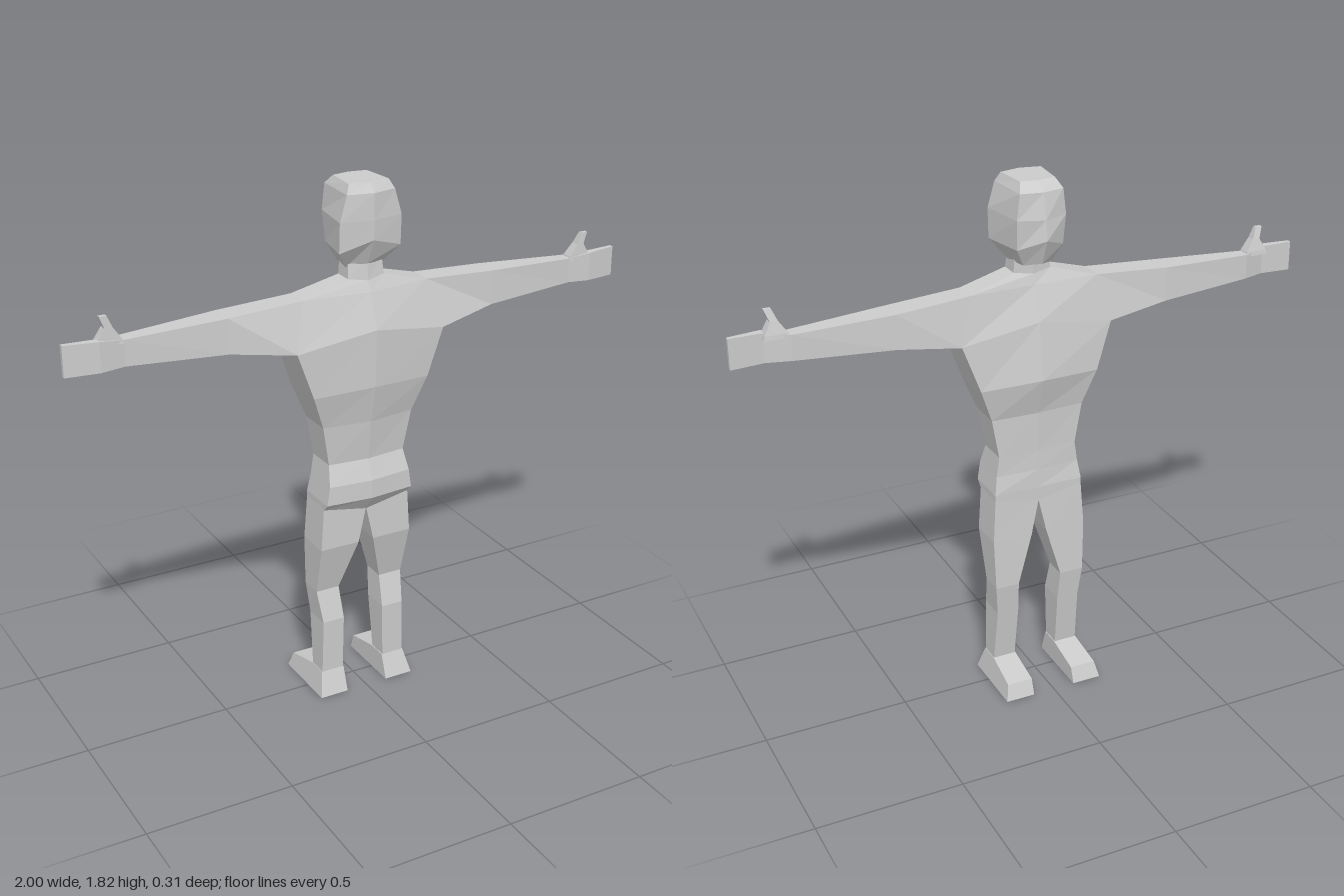
import * as THREE from 'three';

const material = new THREE.MeshStandardMaterial({ color: 0xcccccc, flatShading: true });

// Skin a list of equal-length rings; rings run counter-clockwise about the loft direction.
function loft(name, rings) {
  const pos = [];
  const tri = (a, b, c) => pos.push(...a, ...b, ...c);
  const n = rings[0].length;
  for (let i = 0; i < rings.length - 1; i++) {
    for (let j = 0; j < n; j++) {
      const k = (j + 1) % n;
      tri(rings[i][j], rings[i][k], rings[i + 1][k]);
      tri(rings[i][j], rings[i + 1][k], rings[i + 1][j]);
    }
  }
  const first = rings[0], last = rings[rings.length - 1];
  for (let j = 1; j < n - 1; j++) {
    tri(first[0], first[j + 1], first[j]);
    tri(last[0], last[j], last[j + 1]);
  }
  const geometry = new THREE.BufferGeometry();
  geometry.setAttribute('position', new THREE.Float32BufferAttribute(pos, 3));
  geometry.computeVertexNormals();
  const mesh = new THREE.Mesh(geometry, material);
  mesh.name = name;
  return mesh;
}

// Reflect rings in x, reversing each to keep the faces outward.
const mirrored = (rings) => rings.map((r) => r.map(([x, y, z]) => [-x, y, z]).reverse());

// Lofts along x must also swap their ring order once seen from the other side,
// which the reversal above already takes care of.
function addPair(group, name, rings) {
  group.add(loft('left' + name, rings), loft('right' + name, mirrored(rings)));
}

// Six-sided body section: ridge at chest and spine, flat flanks.
const bodyRing = ([ySide, yMid, xF, xB, zF, zFMid, zB, zBMid]) => [
  [xB, ySide, zB], [xF, ySide, zF], [0, yMid, zFMid],
  [-xF, ySide, zF], [-xB, ySide, zB], [0, yMid, zBMid],
];

// Four-sided leg section with separate outer and inner heights.
const legRing = ([yOut, yIn, xOut, xIn, zF, zB]) => [
  [xOut, yOut, zB], [xOut, yOut, zF], [xIn, yIn, zF], [xIn, yIn, zB],
];

// Four-sided arm section; top and bottom corners have their own x and z.
const armRing = ([xT, xB, yT, yB, zTF, zTB, zBF, zBB]) => [
  [xT, yT, zTF], [xT, yT, zTB], [xB, yB, zBB], [xB, yB, zBF],
];

export function createModel() {
  const model = new THREE.Group();
  model.name = 'figure';

  // Torso from crotch to neck
  model.add(loft('torso', [
    [0.72, 0.69, 0.16, 0.16, -0.03, -0.03, 0.09, 0.09],
    [0.745, 0.745, 0.16, 0.16, -0.03, -0.03, 0.115, 0.13],
    [0.81, 0.81, 0.15, 0.15, -0.02, -0.027, 0.115, 0.13],
    [0.88, 0.88, 0.14, 0.14, -0.02, -0.025, 0.09, 0.105],
    [1.02, 1.02, 0.165, 0.165, -0.02, -0.028, 0.1, 0.122],
    [1.14, 1.15, 0.21, 0.21, -0.04, -0.065, 0.125, 0.15],
    [1.3, 1.345, 0.267, 0.267, -0.025, -0.038, 0.125, 0.155],
    [1.46, 1.46, 0.225, 0.225, 0, 0, 0.085, 0.115],
    [1.505, 1.495, 0.065, 0.065, 0.02, 0.01, 0.085, 0.1],
    [1.57, 1.57, 0.06, 0.06, 0.02, 0.01, 0.075, 0.09],
  ].map(bodyRing)));

  // Head, narrower toward the face at -z
  model.add(loft('head', [
    [1.54, 1.55, 0.05, 0.065, -0.02, -0.055, 0.07, 0.095],
    [1.6, 1.635, 0.08, 0.11, -0.04, -0.092, 0.11, 0.135],
    [1.7, 1.7, 0.085, 0.11, -0.05, -0.082, 0.115, 0.137],
    [1.785, 1.785, 0.075, 0.085, -0.05, -0.065, 0.115, 0.135],
    [1.815, 1.815, 0.06, 0.07, -0.02, -0.03, 0.1, 0.115],
  ].map(bodyRing)));

  // Arms with flat hands
  addPair(model, 'Arm', [
    [0.225, 0.267, 1.46, 1.3, 0, 0.085, -0.025, 0.125],
    [0.48, 0.48, 1.445, 1.33, -0.01, 0.08, -0.015, 0.085],
    [0.81, 0.81, 1.43, 1.345, 0.012, 0.06, 0.012, 0.06],
    [0.89, 0.89, 1.44, 1.342, 0.04, 0.068, 0.04, 0.068],
    [1, 1, 1.442, 1.34, 0.035, 0.05, 0.035, 0.05],
  ].map(armRing));

  // Thumbs pointing up
  addPair(model, 'Thumb', [
    [1.42, 1.42, 0.895, 0.81, 0.018, 0.062],
    [1.435, 1.435, 0.89, 0.815, 0.02, 0.06],
    [1.475, 1.475, 0.868, 0.842, 0.03, 0.058],
    [1.513, 1.513, 0.882, 0.858, 0.042, 0.056],
  ].map(legRing));

  // Legs
  addPair(model, 'Leg', [
    [0.075, 0.075, 0.16, 0.08, 0, 0.07],
    [0.28, 0.28, 0.155, 0.076, -0.026, 0.072],
    [0.39, 0.39, 0.165, 0.08, -0.04, 0.042],
    [0.57, 0.57, 0.17, 0.028, -0.035, 0.09],
    [0.725, 0.695, 0.16, 0, -0.03, 0.09],
  ].map(legRing));

  // Feet: side profile swept across, splayed at the sole
  const footProfile = [[0.055, -0.135], [0.085, 0], [0.085, 0.07], [0, 0.1], [0, -0.155]];
  addPair(model, 'Foot', [
    footProfile.map(([y, z]) => [0.077, y, z]),
    footProfile.map(([y, z]) => [0.18 - y * 0.22, y, z]),
  ]);

  return model;
}
